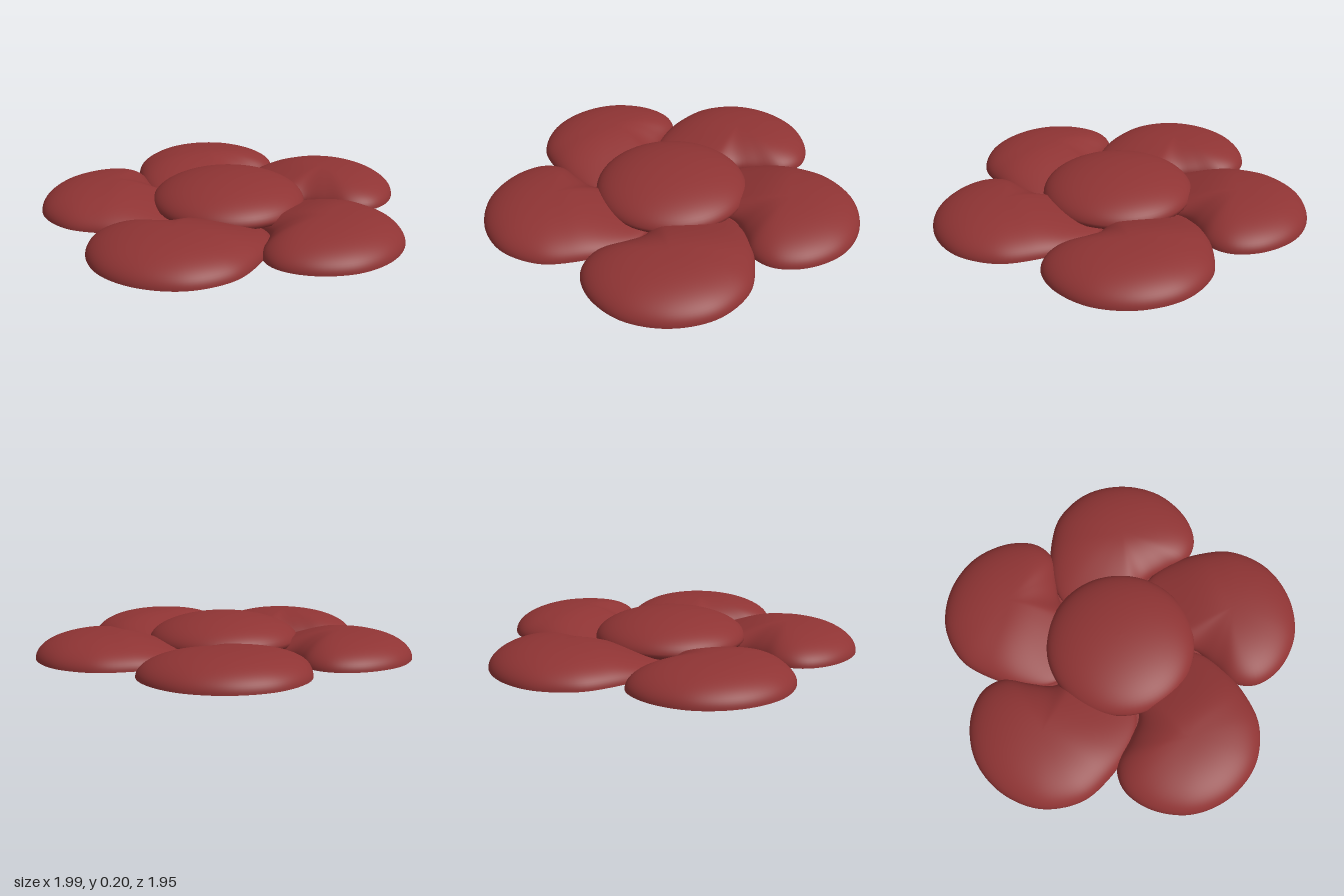
import * as THREE from 'three';

const PETALS = 5;
const CENTER_Z = 0.04;
const TWIST = 0.025;

// Closed comma-shaped petal outline: x is sideways, y points away from the hub
const outline = new THREE.CatmullRomCurve3([
  [0, 1.02], [0.22, 0.97], [0.38, 0.82], [0.43, 0.66], [0.38, 0.54], [0.25, 0.47], [0.14, 0.4],
  [0.05, 0.2], [-0.15, 0.15], [-0.33, 0.27], [-0.4, 0.43], [-0.41, 0.63], [-0.37, 0.8], [-0.22, 0.96],
].map(([x, y]) => new THREE.Vector3(x, y, 0)), true).getSpacedPoints(96).slice(0, 96);

// Puffy upper surface: loops shrinking to a core, lower towards the hub
function petalDome() {
  const rings = 24, n = outline.length;
  const core = new THREE.Vector3(0, 0.66, 0);
  const positions = [], index = [];
  for (let i = 0; i <= rings; i++) {
    const s = Math.sin((i / rings) * Math.PI / 2);
    for (const p of outline) {
      const q = core.clone().lerp(p, s);
      const slope = 0.4 + 0.6 * THREE.MathUtils.smoothstep(q.y, 0.15, 0.62);
      const y = 0.137 * slope * Math.sqrt(Math.max(0, 1 - s ** 2.3));
      positions.push(q.x, y + 0.003, -q.y);
    }
  }
  for (let i = 0; i < rings; i++) {
    for (let j = 0; j < n; j++) {
      const a = i * n + j, b = i * n + (j + 1) % n;
      if (i > 0) index.push(a, b, a + n);
      index.push(b, b + n, a + n);
    }
  }
  const geometry = new THREE.BufferGeometry();
  geometry.setAttribute('position', new THREE.Float32BufferAttribute(positions, 3));
  geometry.setIndex(index);
  geometry.computeVertexNormals();
  // All core vertices coincide at the summit, so they share one normal
  for (let j = 0; j < n; j++) geometry.attributes.normal.setXYZ(j, 0, 1, 0);
  return geometry;
}

export function createModel() {
  const model = new THREE.Group();
  model.name = 'flower';
  const material = new THREE.MeshStandardMaterial({ color: 0x8f3434, side: THREE.DoubleSide });

  const add = (parent, geometry, name) => {
    const mesh = new THREE.Mesh(geometry, material);
    mesh.name = name;
    parent.add(mesh);
    return mesh;
  };

  // Five petals swirling around the hub, each with a flat underside
  const domeGeometry = petalDome();
  const underside = new THREE.ShapeGeometry(new THREE.Shape(outline.map(p => new THREE.Vector2(p.x, p.y))));
  underside.rotateX(-Math.PI / 2);
  for (let k = 0; k < PETALS; k++) {
    const petal = new THREE.Group();
    petal.name = 'petal' + (k + 1);
    petal.position.z = CENTER_Z;
    petal.rotation.y = -TWIST - k * 2 * Math.PI / PETALS;
    add(petal, domeGeometry, 'petalTop');
    add(petal, underside, 'petalUnderside').position.y = 0.003;
    model.add(petal);
  }

  // Round central dome, tucked in below its rim
  const profile = [[0.3, 0], [0.36, 0.02], [0.4, 0.04]].map(([x, y]) => new THREE.Vector2(x, y));
  for (let i = 0; i <= 20; i++) {
    const t = (i / 20) * Math.PI / 2;
    profile.push(new THREE.Vector2(0.41 * Math.cos(t), 0.055 + 0.146 * Math.sin(t)));
  }
  profile[profile.length - 1].x = 0;
  add(model, new THREE.LatheGeometry(profile, 72), 'hub').position.z = 0.05;

  // Five-sided plate closing the bottom, its corners between the petals
  const base = new THREE.CircleGeometry(0.68, PETALS, Math.PI / 2);
  base.rotateX(Math.PI / 2);
  const plate = add(model, base, 'basePlate');
  plate.position.z = CENTER_Z;
  plate.rotation.y = -TWIST;

  return model;
}
